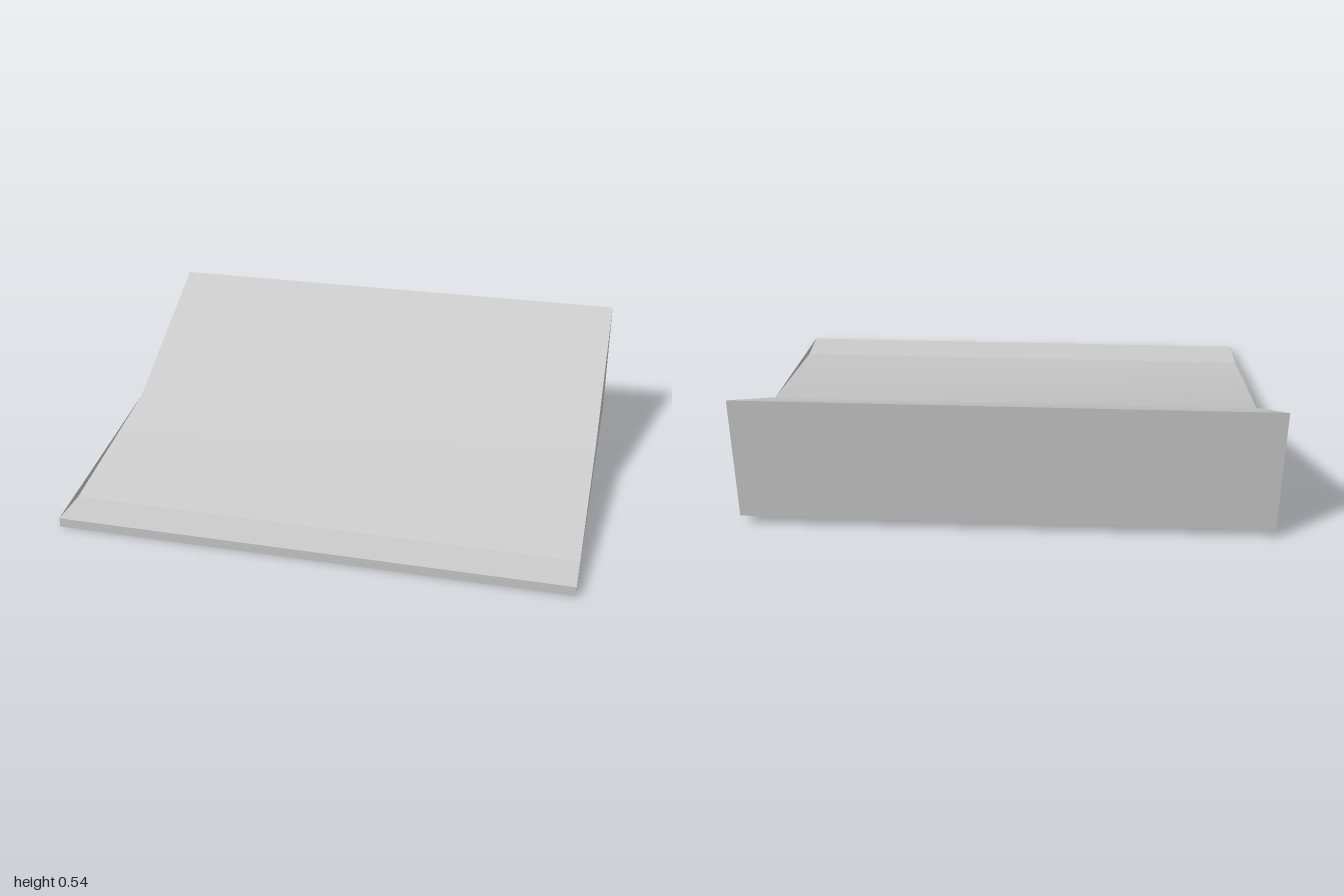
import * as THREE from 'three';

const HALF = 1; // half width along x

// Profile points as [z, y]
const lipTop = [0.757, 0.037], lipFoot = [0.757, 0];
const deckStart = [0.587, 0.04], bend = [-0.09, 0.18], crest = [-0.757, 0.535], heel = [-0.757, 0.04];

// Sheet swept across the width; normals are smooth along the profile
function sheet(points) {
  const position = [], index = [];
  points.forEach(([z, y], i) => {
    position.push(-HALF, y, z, HALF, y, z);
    const a = 2 * i;
    if (i < points.length - 1) index.push(a, a + 1, a + 3, a, a + 3, a + 2);
  });
  const geometry = new THREE.BufferGeometry();
  geometry.setAttribute('position', new THREE.Float32BufferAttribute(position, 3));
  geometry.setIndex(index);
  geometry.computeVertexNormals();
  return geometry;
}

export function createModel() {
  const group = new THREE.Group();
  group.name = 'ramp';
  const grey = new THREE.MeshStandardMaterial({ color: 0xcccccc, side: THREE.DoubleSide });
  grey.name = 'light grey';

  const add = (name, geometry) => {
    const mesh = new THREE.Mesh(geometry, grey);
    mesh.name = name;
    group.add(mesh);
    return mesh;
  };

  // Riding surface, flat front lip, back wall and underside
  add('deck', sheet([deckStart, bend, crest]));
  add('lipTop', sheet([lipTop, deckStart]));
  add('lipFront', sheet([lipFoot, lipTop]));
  add('lipUnderside', sheet([deckStart, lipFoot]));
  add('backWall', sheet([crest, heel]));
  add('underside', sheet([heel, deckStart]));

  // Thin side panels, rising straight from the lip to the bend
  const outline = [lipTop, lipFoot, deckStart, heel, crest, bend];
  const shape = new THREE.Shape(outline.map(([z, y]) => new THREE.Vector2(-z, y)));
  for (const side of [-1, 1]) {
    const panel = add(side > 0 ? 'leftSide' : 'rightSide', new THREE.ShapeGeometry(shape).rotateY(Math.PI / 2));
    if (side < 0) {
      // Face the other panel outward by reversing its triangles and normals
      panel.geometry.index.array.reverse();
      panel.geometry.computeVertexNormals();
    }
    panel.position.x = side * HALF;
  }
  return group;
}
